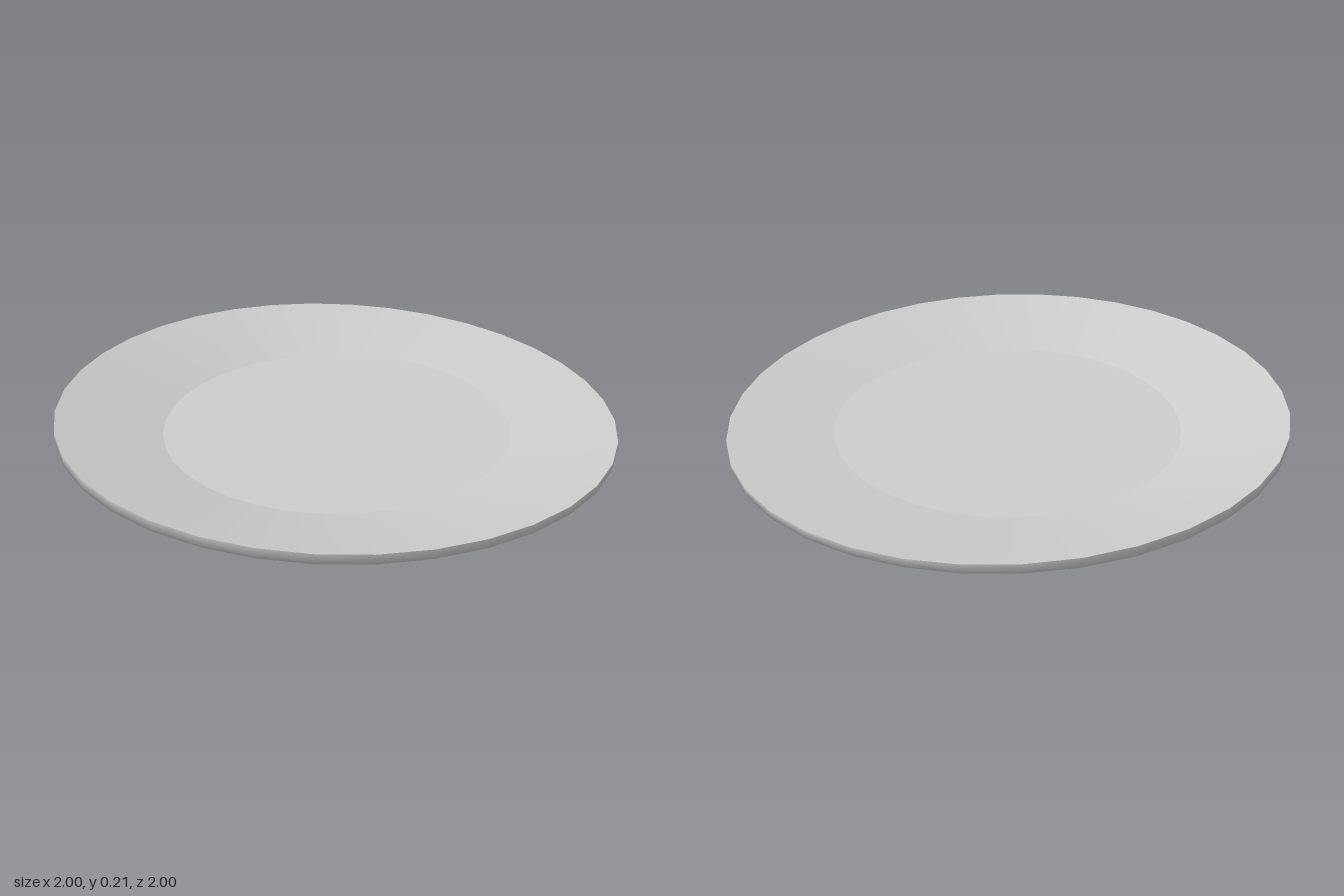
import * as THREE from 'three';
import { mergeVertices } from 'three/addons/utils/BufferGeometryUtils.js';

const SEGMENTS = 36;
const FOOT = 0.62, FLOOR = 0.63, RECESS = 0.535;

// The rim sags unevenly: highest at -x, lowest at +x.
function sag(x, z) {
  return -0.032 * x - 0.013 * x * x - 0.004 * z;
}

// Turns a profile (bottom outwards, then top inwards) into a smooth surface with a warped rim.
function turn(name, profile, material) {
  const lathe = new THREE.LatheGeometry(profile.map(([r, y]) => new THREE.Vector2(r, y)), SEGMENTS);
  lathe.deleteAttribute('uv');
  lathe.deleteAttribute('normal');
  const geometry = mergeVertices(lathe, 1e-4);
  const p = geometry.attributes.position;
  for (let i = 0; i < p.count; i++) {
    const x = p.getX(i), z = p.getZ(i);
    const t = Math.max(0, (Math.hypot(x, z) - FLOOR) / (1 - FLOOR));
    const underside = p.getY(i) < 0.17 && t > 0.99 ? 0.8 : 1;
    p.setY(i, p.getY(i) + t * underside * sag(x, z));
  }
  geometry.computeVertexNormals();
  const mesh = new THREE.Mesh(geometry, material);
  mesh.name = name;
  return mesh;
}

export function createModel() {
  const group = new THREE.Group();
  group.name = 'plate';
  const material = new THREE.MeshStandardMaterial({ color: 0xcccccc });

  group.add(
    // Hollow underneath, inside the foot ring
    turn('recessFace', [[0, 0.022], [RECESS, 0.022]], material),
    turn('recessWall', [[RECESS, 0.022], [RECESS, 0]], material),
    // Foot ring, sloping underside and rim edge
    turn('footRing', [[RECESS, 0], [FOOT, 0]], material),
    turn('underside', [[FOOT, 0], [1, 0.162], [1, 0.195]], material),
    // Sloping border and flat eating surface
    turn('border', [[1, 0.195], [FLOOR, 0.107]], material),
    turn('floor', [[FLOOR, 0.107], [0, 0.107]], material),
  );
  return group;
}
